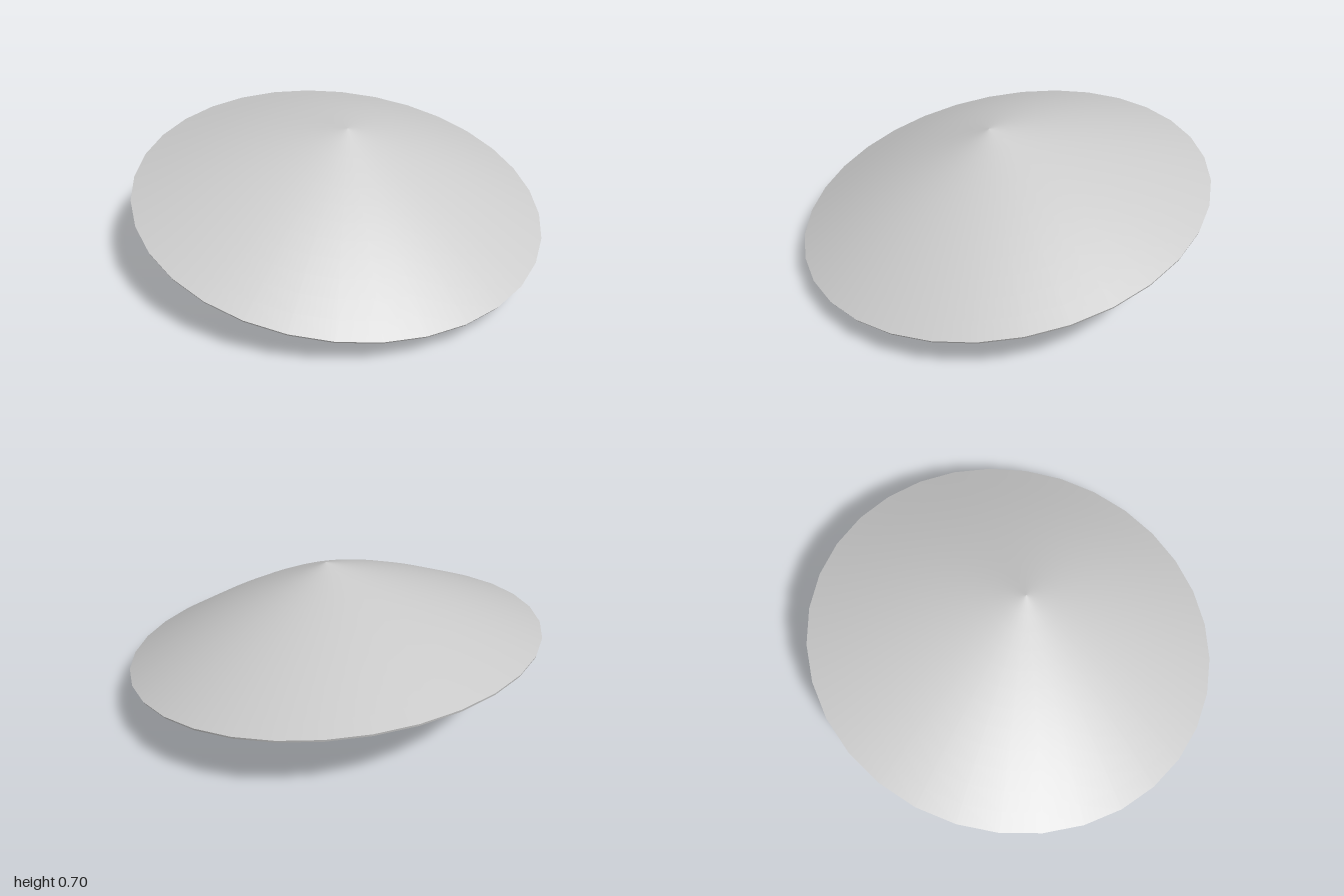
import * as THREE from 'three';

const material = new THREE.MeshStandardMaterial({ color: 0xcccccc, side: THREE.DoubleSide });

function addMesh(parent, name, geometry, y = 0) {
  const mesh = new THREE.Mesh(geometry, material);
  mesh.name = name;
  mesh.position.y = y;
  parent.add(mesh);
  return mesh;
}

// Slightly bulged cone profile, from the tip down to the rim
function conePoints(radius, height, base) {
  const points = [];
  for (let i = 0; i <= 12; i++) {
    const t = i / 12;
    points.push(new THREE.Vector2(radius * t, base + height * (1 - t) + 0.027 * Math.sin(Math.PI * t)));
  }
  return points;
}

export function createModel() {
  const model = new THREE.Group();
  model.name = 'tiltedConeHat';

  // Everything shares one tilted axis, with its origin at the rim centre
  const tilt = new THREE.Group();
  tilt.name = 'tiltedAssembly';
  tilt.position.y = 0.305;
  tilt.rotation.set(0.19, 0, -0.037);
  model.add(tilt);

  // Thin conical shell: outer skin, inner skin and rim band
  const outer = conePoints(1, 0.392, 0.005);
  const inner = conePoints(0.995, 0.388, -0.006);
  addMesh(tilt, 'coneOuter', new THREE.LatheGeometry(outer.slice().reverse(), 32));
  addMesh(tilt, 'coneInner', new THREE.LatheGeometry(inner, 32));
  addMesh(tilt, 'coneRim', new THREE.CylinderGeometry(1, 0.995, 0.011, 32, 1, true), -0.0005);

  // Support below and inside the cone, set a little off the axis
  const support = new THREE.Group();
  support.name = 'support';
  support.position.set(-0.014, 0, 0.016);
  tilt.add(support);

  addMesh(support, 'taperedStem', new THREE.CylinderGeometry(0.08, 0.128, 0.39, 32), 0.155);
  addMesh(support, 'collar', new THREE.CylinderGeometry(0.137, 0.137, 0.05, 32), -0.06);

  // Round-topped neck with a flat bottom
  const neck = [new THREE.Vector2(0.107, -0.29)];
  for (let i = 0; i <= 10; i++) {
    const a = (i / 10) * Math.PI / 2;
    neck.push(new THREE.Vector2(0.107 * Math.cos(a), -0.135 + 0.1 * Math.sin(a)));
  }
  addMesh(support, 'neck', new THREE.LatheGeometry(neck, 32));
  const bottom = addMesh(support, 'neckBottom', new THREE.CircleGeometry(0.107, 32), -0.29);
  bottom.rotation.x = Math.PI / 2;

  return model;
}
